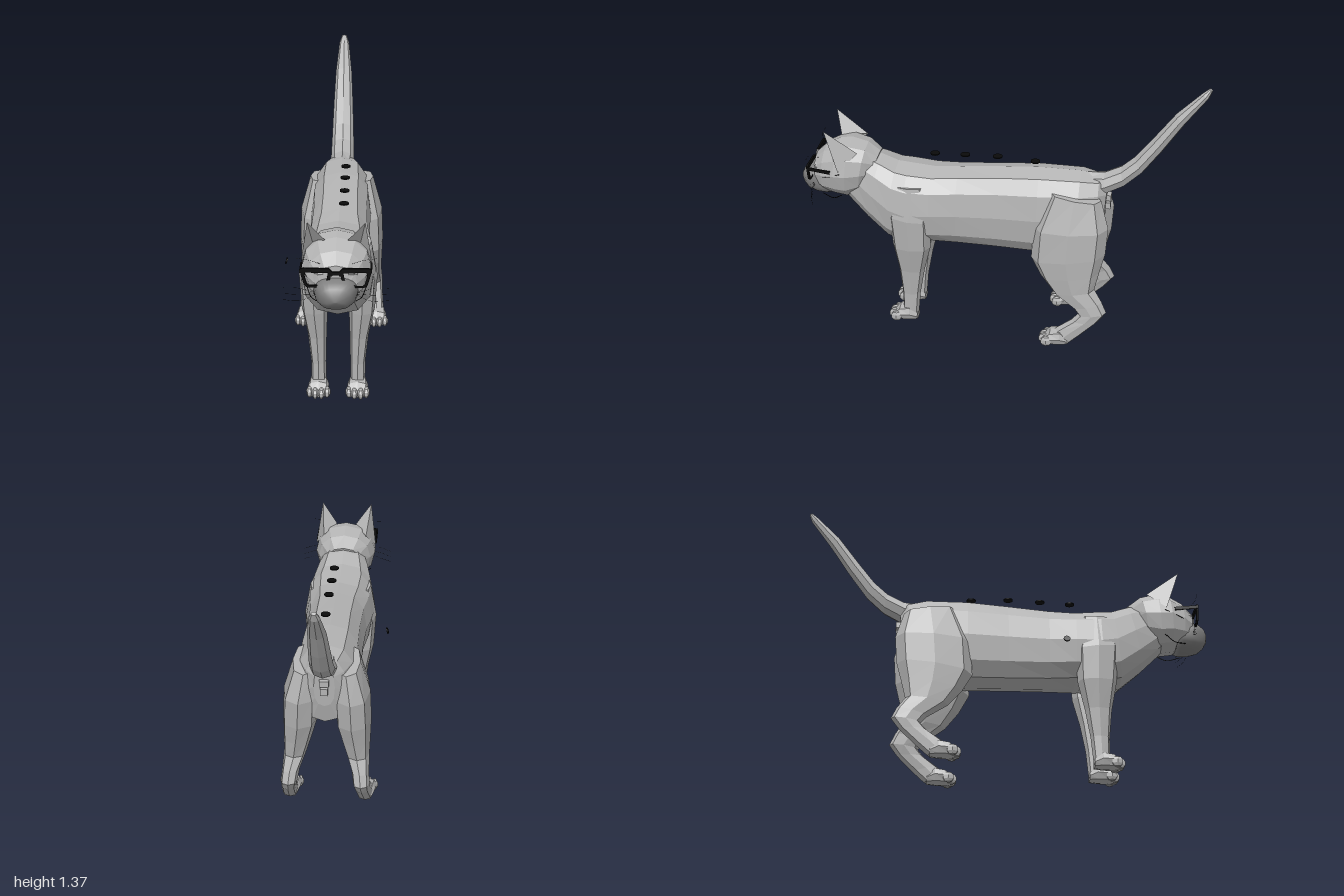
import * as THREE from 'three';

const mat = (name, color) => {
  const m = new THREE.MeshStandardMaterial({ color });
  m.name = name;
  return m;
};

// Closed skin over rings. Each ring: [y1, z1, y2, z2, halfWidth, centreX],
// where (y1, z1) and (y2, z2) are opposite points of the ring in side view.
function loft(rings, { n = 12, power = 0.8, smooth = false, side = 1 } = {}) {
  const pos = [], idx = [];
  const p = (v) => Math.sign(v) * Math.abs(v) ** power;
  for (const [y1, z1, y2, z2, w, cx = 0] of rings) {
    for (let j = 0; j < n; j++) {
      const a = (j / n) * Math.PI * 2, s = p(Math.sin(a)) / 2;
      pos.push(side * cx + w * p(Math.cos(a)), (y1 + y2) / 2 + (y1 - y2) * s, (z1 + z2) / 2 + (z1 - z2) * s);
    }
  }
  const last = rings.length - 1, c = rings.length * n;
  for (const [y1, z1, y2, z2, , cx = 0] of [rings[0], rings[last]]) {
    pos.push(side * cx, (y1 + y2) / 2, (z1 + z2) / 2);
  }
  for (let j = 0; j < n; j++) {
    const k = (j + 1) % n;
    for (let i = 0; i < last; i++) {
      const a = i * n + j, b = i * n + k;
      idx.push(a, b, b + n, a, b + n, a + n);
    }
    idx.push(c, k, j, c + 1, last * n + j, last * n + k);
  }
  // Turn the faces outward if the signed volume is negative
  const v = (i) => new THREE.Vector3().fromArray(pos, i * 3);
  let volume = 0;
  for (let i = 0; i < idx.length; i += 3) volume += v(idx[i]).dot(v(idx[i + 1]).cross(v(idx[i + 2])));
  if (volume < 0) idx.reverse();
  const g = new THREE.BufferGeometry();
  g.setAttribute('position', new THREE.Float32BufferAttribute(pos, 3));
  g.setIndex(idx);
  if (smooth) {
    g.computeVertexNormals();
    return g;
  }
  return flat(g);
}

function flat(g) {
  const f = g.index ? g.toNonIndexed() : g;
  f.computeVertexNormals();
  return f;
}

export function createModel() {
  const group = new THREE.Group();
  const fur = mat('grey fur', 0xb4b4b4);
  const earFur = mat('ear fur', 0xb4b4b4);
  earFur.side = THREE.DoubleSide;
  const cloth = mat('mask grey', 0x808080);
  const black = mat('black', 0x0a0a0a);

  const add = (name, geometry, material, x = 0, y = 0, z = 0) => {
    const m = new THREE.Mesh(geometry, material);
    m.name = name;
    m.position.set(x, y, z);
    group.add(m);
    return m;
  };
  const tube = (name, points, radius, material) => add(name, new THREE.TubeGeometry(
    new THREE.CatmullRomCurve3(points.map((q) => new THREE.Vector3(...q))), 12, radius, 5), material);

  // Trunk and neck
  add('body', loft([
    [0.83, -0.53, 0.62, -0.515, 0.05],
    [0.87, -0.49, 0.52, -0.49, 0.1],
    [0.885, -0.4, 0.47, -0.4, 0.14],
    [0.885, -0.2, 0.435, -0.2, 0.15],
    [0.87, 0, 0.44, 0, 0.145],
    [0.85, 0.2, 0.445, 0.2, 0.15],
    [0.84, 0.33, 0.45, 0.33, 0.168],
    [0.85, 0.45, 0.43, 0.46, 0.178],
    [0.855, 0.51, 0.46, 0.555, 0.165],
    [0.885, 0.59, 0.55, 0.66, 0.14],
    [0.9, 0.66, 0.64, 0.75, 0.11],
    [0.9, 0.72, 0.7, 0.8, 0.1],
  ]), fur);

  add('tail', loft([
    [0.88, -0.42, 0.74, -0.45, 0.05],
    [0.885, -0.51, 0.775, -0.52, 0.06],
    [0.925, -0.59, 0.825, -0.61, 0.058],
    [0.985, -0.655, 0.905, -0.695, 0.055],
    [1.095, -0.74, 1.03, -0.785, 0.05],
    [1.23, -0.84, 1.175, -0.88, 0.042],
    [1.345, -0.955, 1.32, -0.985, 0.025],
    [1.37, -0.985, 1.36, -1, 0.012],
  ], { n: 8, power: 1 }), fur);

  // Small folds under the tail
  add('underTailUpper', flat(new THREE.BoxGeometry(0.045, 0.03, 0.035)), fur, 0, 0.755, -0.53);
  add('underTailLower', flat(new THREE.BoxGeometry(0.035, 0.035, 0.03)), fur, 0, 0.71, -0.53);

  add('head', loft([
    [0.9, 0.6, 0.72, 0.66, 0.09],
    [0.945, 0.66, 0.69, 0.7, 0.135],
    [0.965, 0.74, 0.66, 0.76, 0.155],
    [0.955, 0.8, 0.67, 0.82, 0.155],
    [0.92, 0.87, 0.68, 0.88, 0.13],
    [0.87, 0.922, 0.7, 0.91, 0.095],
    [0.79, 0.925, 0.72, 0.935, 0.055],
  ], { power: 0.9 }), fur);

  // Face mask
  add('mask', loft([
    [0.8, 0.85, 0.67, 0.84, 0.09],
    [0.815, 0.92, 0.665, 0.86, 0.1],
    [0.805, 0.96, 0.665, 0.91, 0.09],
    [0.785, 0.985, 0.675, 0.955, 0.07],
    [0.76, 0.998, 0.7, 0.985, 0.042],
    [0.735, 1, 0.725, 1, 0.01],
  ], { n: 24, power: 0.75, smooth: true }), cloth);

  for (const s of [1, -1]) {
    const label = s > 0 ? 'left' : 'right';

    // Legs
    add(label + 'FrontLeg', loft([
      [0.78, 0.5, 0.78, 0.36, 0.04, 0.115],
      [0.62, 0.54, 0.6, 0.33, 0.065, 0.12],
      [0.44, 0.525, 0.44, 0.335, 0.062, 0.112],
      [0.3, 0.5, 0.3, 0.37, 0.045, 0.1],
      [0.16, 0.487, 0.16, 0.395, 0.036, 0.094],
      [0.07, 0.485, 0.05, 0.405, 0.036, 0.094],
      [0.02, 0.48, 0.02, 0.41, 0.036, 0.094],
    ], { n: 8, side: s }), fur);
    add(label + 'HindLeg', loft([
      [0.81, -0.26, 0.78, -0.51, 0.06, 0.1],
      [0.62, -0.185, 0.64, -0.55, 0.085, 0.122],
      [0.45, -0.175, 0.5, -0.54, 0.085, 0.128],
      [0.36, -0.225, 0.4, -0.515, 0.07, 0.14],
      [0.28, -0.29, 0.31, -0.495, 0.055, 0.152],
      [0.21, -0.39, 0.25, -0.535, 0.042, 0.168],
      [0.175, -0.42, 0.195, -0.56, 0.04, 0.174],
      [0.14, -0.39, 0.14, -0.52, 0.036, 0.178],
      [0.09, -0.32, 0.06, -0.44, 0.036, 0.183],
      [0.05, -0.28, 0.01, -0.385, 0.038, 0.185],
    ], { n: 8, side: s }), fur);

    // Paws with four toes each
    for (const [name, x, z] of [['FrontPaw', 0.094, 0.41], ['HindPaw', 0.185, -0.375]]) {
      add(label + name, loft([
        [0.05, z, 0.005, z, 0.034, x],
        [0.085, z + 0.04, 0, z + 0.04, 0.048, x],
        [0.075, z + 0.09, 0, z + 0.09, 0.052, x],
        [0.045, z + 0.12, 0.005, z + 0.12, 0.046, x],
      ], { n: 8, side: s }), fur);
      for (const dx of [-0.042, -0.015, 0.015, 0.042]) {
        const toe = flat(new THREE.SphereGeometry(1, 6, 5).scale(0.017, 0.028, 0.03));
        add(label + name + 'Toe', toe, fur, s * x + dx, 0.028, z + (Math.abs(dx) > 0.03 ? 0.105 : 0.12));
      }
    }

    // Hollow ear: back, inner edge and two faces folding into the cup
    const tip = [0.128, 1.045, 0.85], outer = [0.157, 0.84, 0.78], back = [0.11, 0.93, 0.69];
    const inner = [0.05, 0.945, 0.81], cup = [0.105, 0.91, 0.77];
    const tris = [[tip, outer, back], [tip, back, inner], [tip, cup, outer], [tip, inner, cup]];
    const ear = new THREE.BufferGeometry();
    ear.setAttribute('position', new THREE.Float32BufferAttribute(
      tris.flatMap((t) => (s > 0 ? t : [...t].reverse())).flatMap(([x, y, z]) => [s * x, y, z]), 3));
    add(label + 'Ear', flat(ear), earFur);

    add(label + 'Eye', flat(new THREE.SphereGeometry(1, 10, 6).scale(0.034, 0.024, 0.03)), fur, s * 0.068, 0.83, 0.895);

    // Glasses: rim with lens opening, and side arm
    const outline = (path, pts) => path.setFromPoints(pts.map(([x, y]) => new THREE.Vector2(s * x, y)));
    const rim = outline(new THREE.Shape(), [[0.014, 0.845], [0.03, 0.862], [0.14, 0.865], [0.158, 0.86],
      [0.154, 0.835], [0.14, 0.785], [0.125, 0.772], [0.05, 0.772], [0.032, 0.785], [0.022, 0.825], [0.014, 0.828]]);
    rim.holes.push(outline(new THREE.Path(), [[0.034, 0.842], [0.135, 0.844], [0.138, 0.83],
      [0.127, 0.79], [0.12, 0.783], [0.054, 0.783], [0.043, 0.79]]));
    add(label + 'GlassesRim', new THREE.ExtrudeGeometry(rim, { depth: 0.01, bevelEnabled: false }), black, 0, 0, 0.928);
    const arm = add(label + 'GlassesArm', new THREE.BoxGeometry(0.007, 0.016, 0.115), black, s * 0.156, 0.842, 0.878);
    arm.rotation.x = -0.12;

    // Mask straps and whiskers
    tube(label + 'UpperStrap', [[s * 0.095, 0.785, 0.91], [s * 0.14, 0.8, 0.85], [s * 0.155, 0.83, 0.77]], 0.002, black);
    tube(label + 'LowerStrap', [[s * 0.085, 0.68, 0.88], [s * 0.115, 0.675, 0.82], [s * 0.135, 0.705, 0.77]], 0.002, black);
    for (const y of [0.7, 0.73, 0.76]) {
      tube(label + 'Whisker', [[s * 0.08, 0.735, 0.92], [s * 0.16, y, 0.92], [s * 0.235, y - 0.01, 0.89]], 0.0006, black);
    }
    tube(label + 'BrowWhisker', [[s * 0.07, 0.87, 0.9], [s * 0.12, 0.9, 0.93], [s * 0.18, 0.91, 0.93]], 0.0006, black);
  }
  add('glassesBridge', new THREE.BoxGeometry(0.034, 0.014, 0.01), black, 0, 0.838, 0.933);

  // Floating discs above the back and beside the shoulder
  for (const [y, z] of [[0.925, -0.175], [0.935, 0.01], [0.93, 0.17], [0.924, 0.32]]) {
    add('backDisc', new THREE.CylinderGeometry(0.023, 0.023, 0.006, 20), black, 0.024, y, z);
  }
  const sideDisc = add('sideDisc', new THREE.CylinderGeometry(0.016, 0.016, 0.006, 20), black, -0.252, 0.605, 0.27);
  sideDisc.rotation.z = 1.27;

  return group;
}
